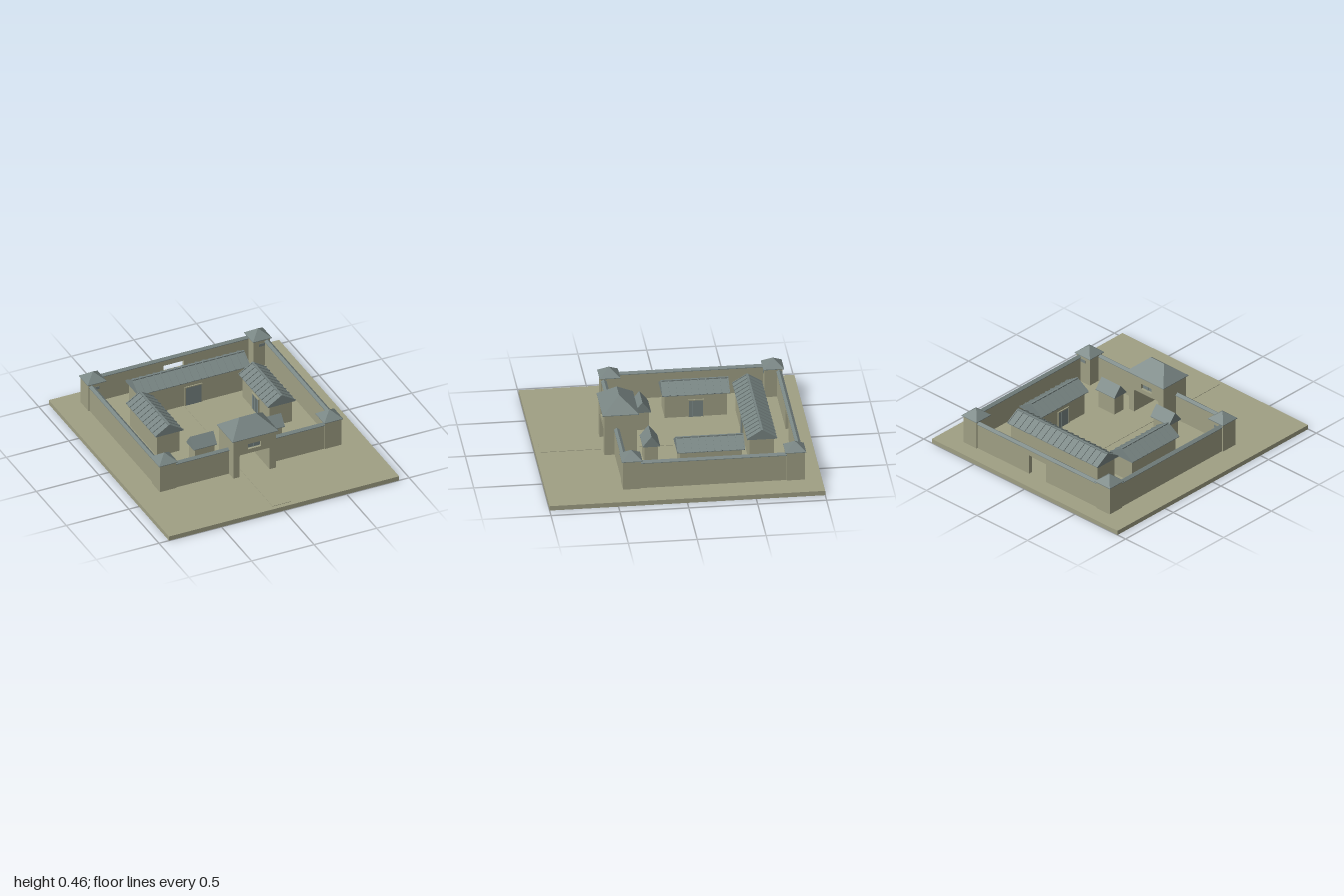
import * as THREE from 'three';
import { ConvexGeometry } from 'three/addons/geometries/ConvexGeometry.js';

const G = 0.035; // ground level
const stone = new THREE.MeshStandardMaterial({ color: 0x9f9f84 });
stone.name = 'olive stone';
const slate = new THREE.MeshStandardMaterial({ color: 0x778482 });
slate.name = 'grey slate';

function add(parent, name, geometry, material, x = 0, y = 0, z = 0) {
  const mesh = new THREE.Mesh(geometry, material);
  mesh.name = name;
  mesh.position.set(x, y, z);
  parent.add(mesh);
  return mesh;
}

// Box standing on height y
function block(parent, name, material, w, h, d, x, y, z) {
  return add(parent, name, new THREE.BoxGeometry(w, h, d), material, x, y + h / 2, z);
}

function group(parent, name, x = 0, z = 0, turn = 0) {
  const g = new THREE.Group();
  g.name = name;
  g.position.set(x, 0, z);
  g.rotation.y = turn;
  parent.add(g);
  return g;
}

// Hipped, pyramid or gable roof: ridge runs along x with half length r
function roof(parent, name, hx, hz, r, eave, apex, x = 0, z = 0, turn = 0) {
  const pts = [];
  const lip = 0.005;
  for (const s of [-1, 1]) {
    for (const t of [-1, 1]) {
      pts.push(new THREE.Vector3(s * hx, 0, t * hz), new THREE.Vector3(s * hx, lip, t * hz));
    }
    if (r > 0) pts.push(new THREE.Vector3(s * r, apex - eave, 0));
  }
  if (r === 0) pts.push(new THREE.Vector3(0, apex - eave, 0));
  const mesh = add(parent, name, new ConvexGeometry(pts), slate, x, eave, z);
  mesh.rotation.y = turn;
}

function rectPath(target, x0, y0, x1, y1) {
  target.moveTo(x0, y0);
  target.lineTo(x1, y0);
  target.lineTo(x1, y1);
  target.lineTo(x0, y1);
  target.closePath();
  return target;
}

// Double door on a wall facing +z
function door(parent, w, h, x, z) {
  block(parent, 'doorPanel', slate, w, h, 0.008, x, G, z);
  for (const s of [-1, 1]) {
    block(parent, 'doorJamb', stone, 0.008, h + 0.008, 0.014, x + s * (w / 2 + 0.004), G, z);
    block(parent, 'doorStile', slate, 0.004, h, 0.012, x + s * w * 0.25, G, z);
  }
  block(parent, 'doorLintel', stone, w, 0.008, 0.014, x, G + h, z);
  block(parent, 'doorSeam', slate, 0.004, h, 0.012, x, G, z);
}

// Long building with a ribbed gable roof; ridge along local x, door on +z
function ribbedHouse(parent, name, x, z, turn, hx, hz, eave, apex, ribs, doorW, doorH) {
  const g = group(parent, name, x, z, turn);
  block(g, 'walls', stone, 2 * hx - 0.04, eave + 0.005 - G, 2 * hz - 0.04, 0, G, 0);
  roof(g, 'gableRoof', hx, hz, hx, eave, apex - 0.005);
  block(g, 'ridgeCap', slate, 2 * hx, 0.009, 0.014, 0, apex - 0.009, 0);
  const rise = apex - eave - 0.01;
  const slope = Math.atan2(rise, hz);
  const len = Math.hypot(rise, hz);
  for (let i = 0; i <= ribs; i++) {
    const rx = -hx + 0.004 + ((2 * hx - 0.008) * i) / ribs;
    for (const s of [-1, 1]) {
      const rib = add(g, 'roofRib', new THREE.BoxGeometry(0.008, 0.009, len), slate,
        rx, eave + 0.006 + rise / 2, (s * hz) / 2);
      rib.rotation.x = s * slope;
    }
  }
  door(g, doorW, doorH, 0, hz - 0.018);
}

// Stretch of wall along local x with a gabled coping; optional central opening
function wall(parent, name, x, z, turn, length, opening = 0) {
  const g = group(parent, name, x, z, turn);
  const top = 0.237;
  if (opening) {
    const side = (length - opening) / 2;
    for (const s of [-1, 1]) {
      block(g, 'wallSide', stone, side, top - G, 0.03, (s * (opening + side)) / 2, G, 0);
    }
    block(g, 'wallLintel', stone, opening, top - 0.19, 0.03, 0, 0.19, 0);
  } else {
    block(g, 'wallBody', stone, length, top - G, 0.03, 0, G, 0);
  }
  roof(g, 'coping', length / 2, 0.02, length / 2, 0.233, 0.252);
}

export function createModel() {
  const model = new THREE.Group();
  model.name = 'walledCourtyard';

  // Ground and path
  block(model, 'ground', stone, 1.84, G, 2, 0, 0, 0);
  block(model, 'path', stone, 0.15, 0.003, 1.46, 0, G, 0.235);

  // Enclosing walls
  wall(model, 'backWall', 0, -0.85, 0, 1.2, 0.165);
  for (const s of [-1, 1]) {
    wall(model, 'sideWall', s * 0.701, -0.217, Math.PI / 2, 1.07);
    wall(model, 'frontWall', s * 0.38, 0.422, 0, 0.44);
  }

  // Corner towers, each with a small window facing the court
  for (const x of [-0.66, 0.66]) {
    for (const z of [-0.81, 0.378]) {
      const t = group(model, 'cornerTower', x, z, z > 0 ? Math.PI : 0);
      block(t, 'towerBody', stone, 0.13, 0.262 - G, 0.13, 0, G, 0);
      roof(t, 'towerRoof', 0.075, 0.075, 0, 0.257, 0.32);
      block(t, 'towerWindow', slate, 0.045, 0.022, 0.006, 0, 0.205, 0.065);
    }
  }

  // Gatehouse with a passage and an upper window
  const gate = group(model, 'gatehouse', 0, 0.393);
  const face = new THREE.Shape();
  const outline = [[-0.17, G], [-0.12, G], [-0.12, 0.212], [-0.112, 0.22], [0.112, 0.22],
    [0.12, 0.212], [0.12, G], [0.17, G], [0.17, 0.358], [-0.17, 0.358]];
  face.setFromPoints(outline.map(([x, y]) => new THREE.Vector2(x, y)));
  face.holes.push(rectPath(new THREE.Path(), -0.052, 0.254, 0.052, 0.298));
  const body = new THREE.ExtrudeGeometry(face, { depth: 0.236, bevelEnabled: false });
  add(gate, 'gateBody', body, stone, 0, 0, -0.118);
  for (const s of [-1, 1]) {
    block(gate, 'gateWindow', slate, 0.104, 0.044, 0.006, 0, 0.254, s * 0.095);
    block(gate, 'windowBar', slate, 0.005, 0.044, 0.008, 0, 0.254, s * 0.1);
  }
  roof(gate, 'gateRoof', 0.183, 0.132, 0.066, 0.353, 0.464);

  // Main hall and the two side houses
  ribbedHouse(model, 'mainHall', 0, -0.6, 0, 0.448, 0.108, 0.235, 0.312, 16, 0.125, 0.15);
  for (const s of [-1, 1]) {
    ribbedHouse(model, 'sideHouse', s * 0.449, -0.217, (-s * Math.PI) / 2,
      0.246, 0.11, 0.215, 0.294, 9, 0.1, 0.13);
  }

  // Small huts behind the gate
  for (const s of [-1, 1]) {
    const hut = group(model, 'hut', s * 0.271, 0.193);
    block(hut, 'hutWalls', stone, 0.155, 0.185 - G, 0.096, 0, G, 0);
    roof(hut, 'hutRoof', 0.093, 0.063, 0.093, 0.18, 0.263);
  }
  return model;
}
